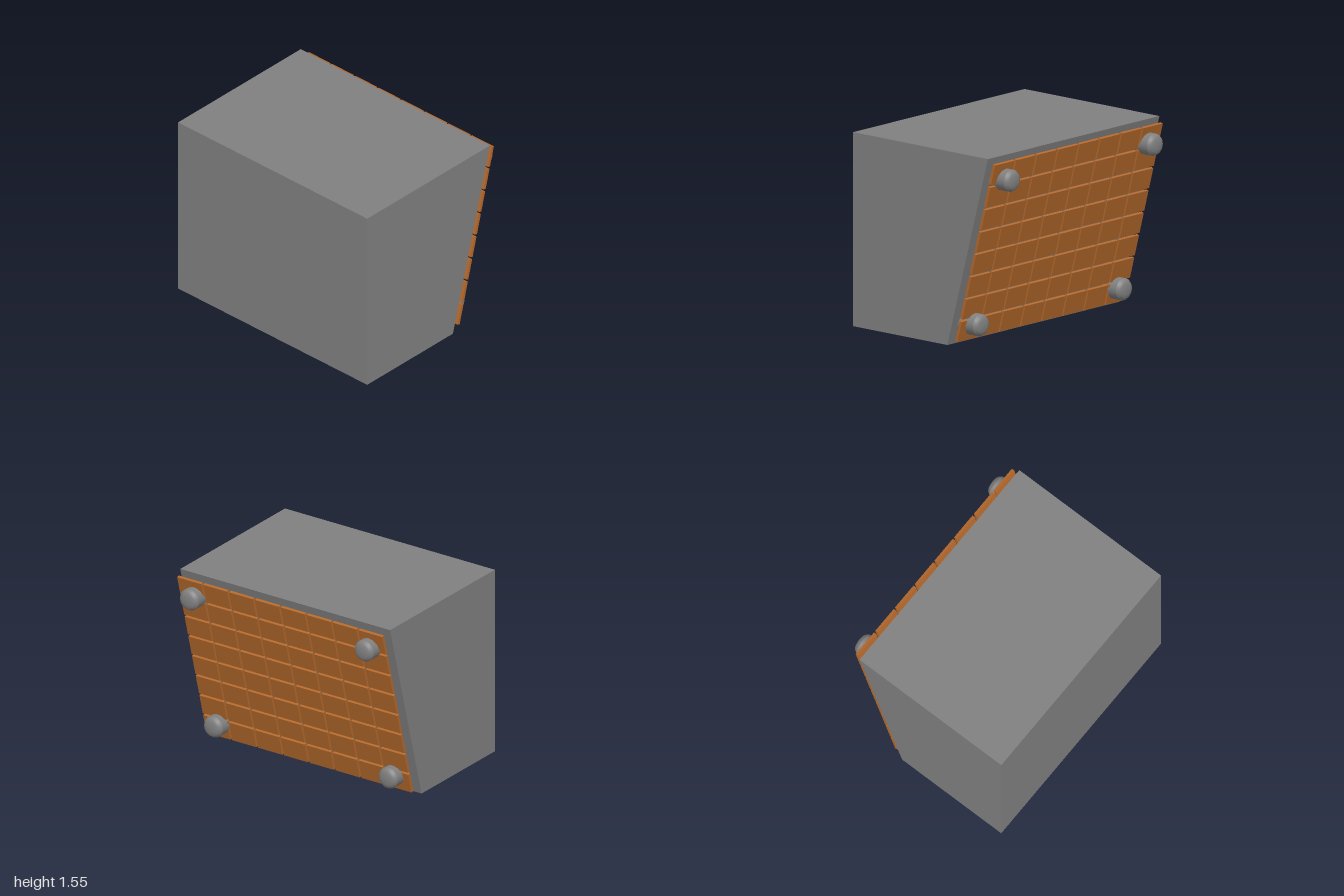
import * as THREE from 'three';

export function createModel() {
  const model = new THREE.Group();
  model.name = 'tiledBlock';
  const grey = new THREE.MeshStandardMaterial({ name: 'grey', color: 0x808080 });
  const brown = new THREE.MeshStandardMaterial({ name: 'brown', color: 0xb5692c });

  // Block with a back that leans outward; side profile drawn as (-z, y)
  const side = new THREE.Shape([
    new THREE.Vector2(-0.772, 0),
    new THREE.Vector2(0.21, 0),
    new THREE.Vector2(0.632, 1.547),
    new THREE.Vector2(-0.772, 1.547),
  ]);
  const blockGeometry = new THREE.ExtrudeGeometry(side, { depth: 2, bevelEnabled: false });
  blockGeometry.translate(0, 0, -1).rotateY(Math.PI / 2);
  const block = new THREE.Mesh(blockGeometry, grey);
  block.name = 'block';
  model.add(block);

  // Leaning 8 x 8 panel of separate tiles
  const panel = new THREE.Group();
  panel.name = 'tilePanel';
  panel.position.set(0.0075, 0.772, -0.487);
  panel.rotation.x = -0.261;
  const tileGeometry = new THREE.BoxGeometry(0.23, 0.172, 0.024);
  for (let row = 0; row < 8; row++) {
    for (let col = 0; col < 8; col++) {
      const tile = new THREE.Mesh(tileGeometry, brown);
      tile.name = 'tile';
      tile.position.set((col - 3.5) * 0.2465, (row - 3.5) * 0.1925, 0);
      panel.add(tile);
    }
  }
  model.add(panel);

  // Level pegs with rounded heads, passing through the corner tiles
  const shaftGeometry = new THREE.CylinderGeometry(0.088, 0.088, 0.25, 28);
  shaftGeometry.translate(0, -0.125, 0).rotateX(-Math.PI / 2);
  const headProfile = [[0.088, 0], [0.076, 0.02], [0.06, 0.031], [0.035, 0.037], [0, 0.039]]
    .map(([r, h]) => new THREE.Vector2(r, h));
  const headGeometry = new THREE.LatheGeometry(headProfile, 28);
  headGeometry.rotateX(-Math.PI / 2);
  for (const [y, z] of [[1.363, -0.734], [0.162, -0.412]]) {
    for (const x of [-0.827, 0.84]) {
      const peg = new THREE.Group();
      peg.name = 'peg';
      const shaft = new THREE.Mesh(shaftGeometry, grey);
      shaft.name = 'pegShaft';
      const head = new THREE.Mesh(headGeometry, grey);
      head.name = 'pegHead';
      peg.add(shaft, head);
      peg.position.set(x, y, z);
      model.add(peg);
    }
  }
  return model;
}
